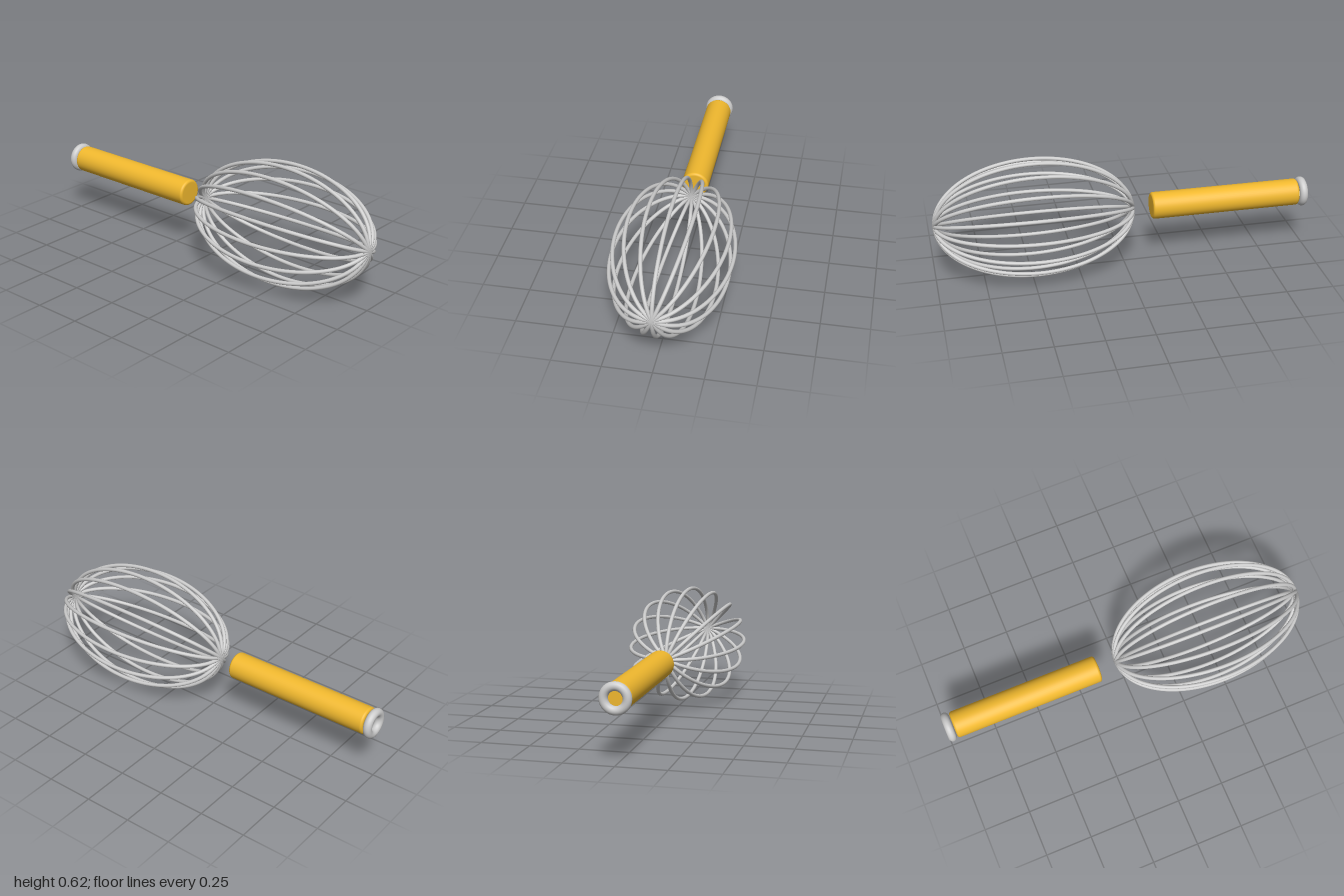
import * as THREE from 'three';

const AXIS_Y = 0.312;   // height of the whisk's long axis
const WIRE = 0.01;      // wire radius

// Closed elliptical wire loop lying in the local yz plane
class LoopCurve extends THREE.Curve {
  constructor(radius, halfLength) {
    super();
    this.radius = radius;
    this.halfLength = halfLength;
  }
  getPoint(t, target = new THREE.Vector3()) {
    const a = t * Math.PI * 2;
    return target.set(0, this.radius * Math.cos(a), this.halfLength * Math.sin(a));
  }
}

// Solid of revolution about z from a list of [radius, z], z increasing
function turned(profile, material, name) {
  const points = profile.map(([r, z]) => new THREE.Vector2(r, z));
  const geometry = new THREE.LatheGeometry(points, 48);
  geometry.rotateX(Math.PI / 2);
  const mesh = new THREE.Mesh(geometry, material);
  mesh.name = name;
  return mesh;
}

export function createModel() {
  const model = new THREE.Group();
  model.name = 'whisk';
  const steel = new THREE.MeshStandardMaterial({ color: 0xcccccc });
  const yellow = new THREE.MeshStandardMaterial({ color: 0xf0b82e });

  // Balloon of eight wire loops crossing at both poles
  const balloon = new THREE.Group();
  balloon.name = 'wireBalloon';
  balloon.position.z = 0.472;
  const loop = new THREE.TubeGeometry(new LoopCurve(0.302, 0.518), 128, WIRE, 12, true);
  for (let i = 0; i < 8; i++) {
    const wire = new THREE.Mesh(loop, steel);
    wire.name = `wireLoop${i + 1}`;
    wire.rotation.z = (i * Math.PI) / 8;
    balloon.add(wire);
  }
  model.add(balloon);

  // Handle with softly rounded ends
  const R = 0.071, back = -0.953, front = -0.148, c = 0.014;
  const profile = [[0, back]];
  for (let i = 0; i <= 5; i++) {
    const a = (i / 5) * Math.PI / 2;
    profile.push([R - c + c * Math.sin(a), back + c - c * Math.cos(a)]);
  }
  for (let i = 0; i <= 5; i++) {
    const a = (i / 5) * Math.PI / 2;
    profile.push([R - c + c * Math.cos(a), front - c + c * Math.sin(a)]);
  }
  profile.push([0, front]);
  model.add(turned(profile, yellow, 'handle'));

  // Rounded steel ring on the handle's end
  const ring = new THREE.Mesh(new THREE.TorusGeometry(0.057, 0.022, 20, 48), steel);
  ring.name = 'endRing';
  ring.position.z = -0.978;
  model.add(ring);

  model.position.y = AXIS_Y;
  const root = new THREE.Group();
  root.add(model);
  return root;
}
